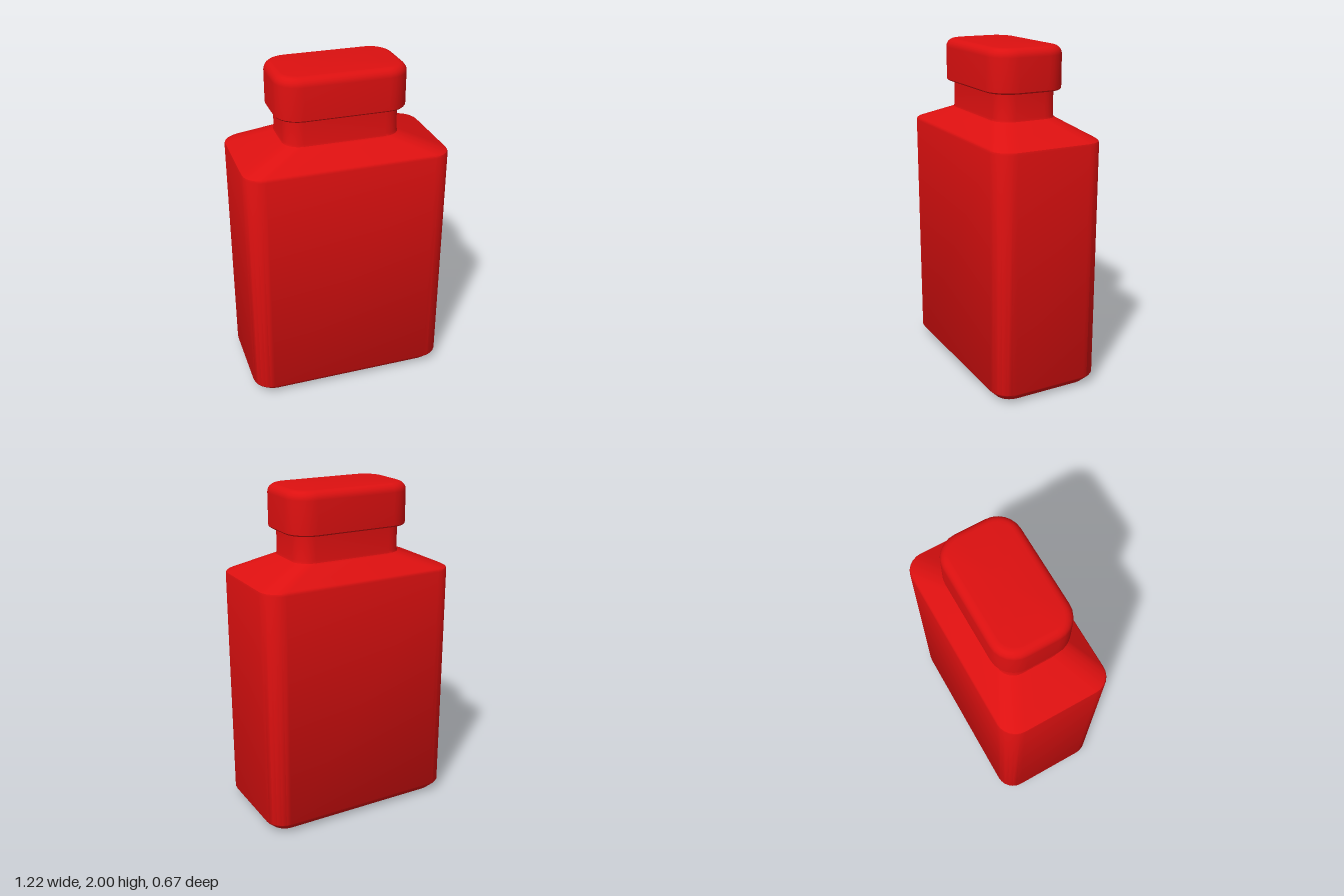
import * as THREE from 'three';
import { toCreasedNormals } from 'three/addons/utils/BufferGeometryUtils.js';

const CORNER_STEPS = 6;

// Outline of a rounded rectangle (half sizes hx, hz) at height y
function ring([y, hx, hz, r]) {
  const points = [];
  const signs = [[1, 1], [-1, 1], [-1, -1], [1, -1]];
  signs.forEach(([sx, sz], q) => {
    for (let i = 0; i <= CORNER_STEPS; i++) {
      const a = (q + i / CORNER_STEPS) * Math.PI / 2;
      points.push([sx * (hx - r) + r * Math.cos(a), y, sz * (hz - r) + r * Math.sin(a)]);
    }
  });
  return points;
}

// Closed skin through a stack of rounded rectangles, bottom to top
function loft(sections) {
  const rings = sections.map(ring);
  const n = rings[0].length;
  const positions = rings.flat(2);
  const index = [];
  for (let s = 0; s < rings.length - 1; s++) {
    for (let i = 0; i < n; i++) {
      const j = (i + 1) % n;
      const a = s * n + i, b = s * n + j;
      index.push(a, a + n, b, b, a + n, b + n);
    }
  }
  // Flat ends
  const bottom = rings.length * n, top = bottom + 1, last = (rings.length - 1) * n;
  positions.push(0, sections[0][0], 0, 0, sections.at(-1)[0], 0);
  for (let i = 0; i < n; i++) {
    const j = (i + 1) % n;
    index.push(bottom, i, j, top, last + j, last + i);
  }
  const geometry = new THREE.BufferGeometry();
  geometry.setAttribute('position', new THREE.Float32BufferAttribute(positions, 3));
  geometry.setIndex(index);
  return toCreasedNormals(geometry, 0.55);
}

export function createModel() {
  const group = new THREE.Group();
  group.name = 'bottle';
  const red = new THREE.MeshStandardMaterial({ color: 0xdd1010 });

  const add = (name, sections) => {
    const mesh = new THREE.Mesh(loft(sections), red);
    mesh.name = name;
    group.add(mesh);
  };

  // Body: chamfered foot, straight walls, sloping shoulder and neck
  add('body', [
    [0, 0.55, 0.28, 0.08],
    [0.008, 0.565, 0.292, 0.09],
    [0.05, 0.605, 0.332, 0.11],
    [0.06, 0.61, 0.337, 0.113],
    [1.475, 0.61, 0.337, 0.113],
    [1.487, 0.607, 0.334, 0.113],
    [1.495, 0.595, 0.327, 0.112],
    [1.585, 0.355, 0.2, 0.1],
    [1.592, 0.344, 0.193, 0.1],
    [1.605, 0.34, 0.19, 0.1],
    [1.78, 0.34, 0.19, 0.1],
  ]);

  // Cap: small bevel below, rounded rim above
  const cap = [
    [1.752, 0.378, 0.225, 0.133],
    [1.76, 0.385, 0.232, 0.14],
  ];
  const bevel = 0.05;
  for (let i = 0; i <= 6; i++) {
    const a = (i / 6) * Math.PI / 2;
    const inset = bevel * (1 - Math.cos(a));
    cap.push([2 - bevel + bevel * Math.sin(a), 0.385 - inset, 0.232 - inset, 0.14 - inset]);
  }
  add('cap', cap);

  return group;
}
